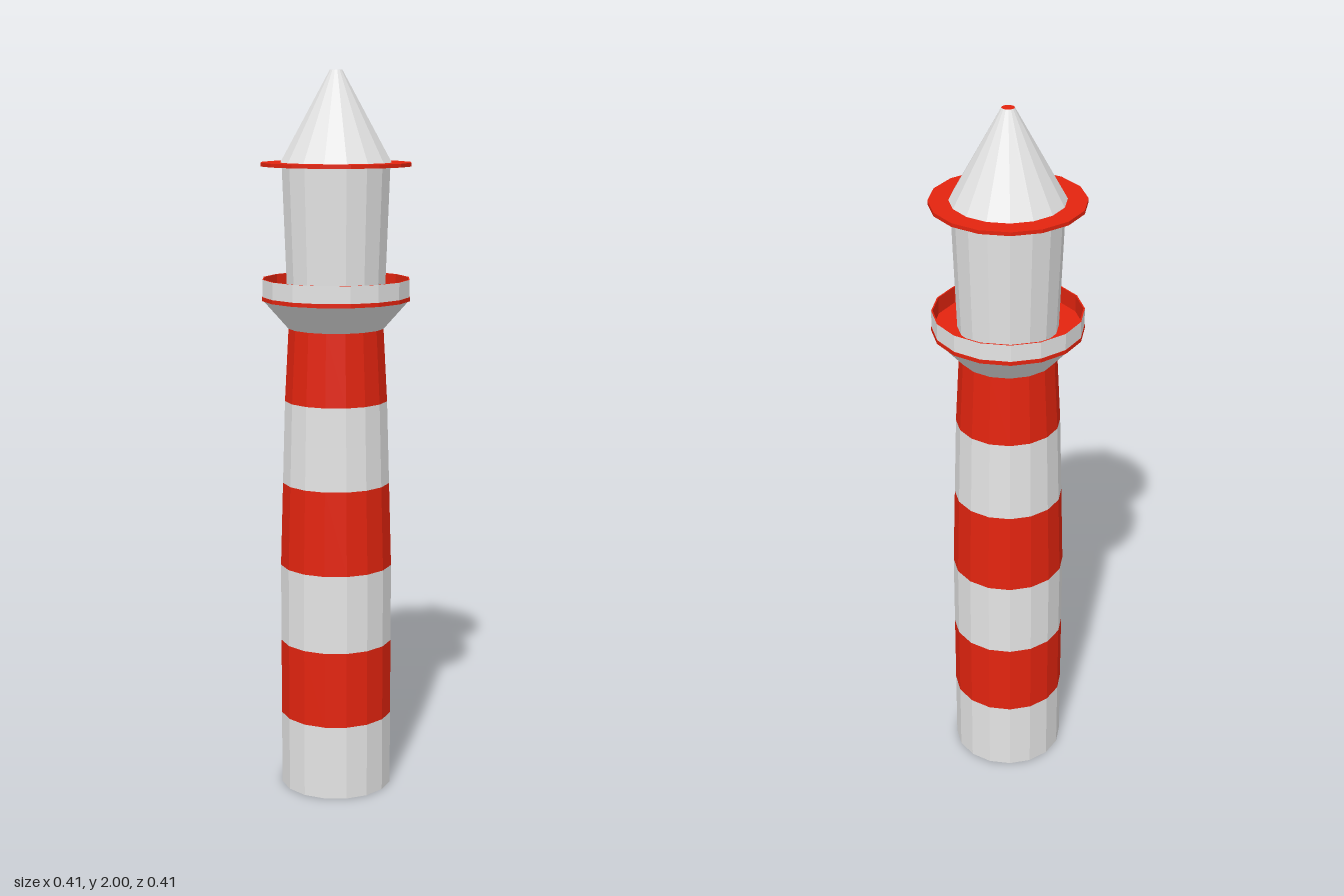
import * as THREE from 'three';

const SIDES = 16;

export function createModel() {
  const model = new THREE.Group();
  model.name = 'lighthouse';

  const white = new THREE.MeshStandardMaterial({ color: 0xe4e4e4, flatShading: true });
  white.name = 'white paint';
  const red = new THREE.MeshStandardMaterial({ color: 0xe3240f, flatShading: true });
  red.name = 'red paint';

  // Faceted ring surface swept from [radius, height] points, listed upwards for an outward face
  function turned(name, material, points) {
    const profile = points.map(([r, y]) => new THREE.Vector2(r, y));
    const mesh = new THREE.Mesh(new THREE.LatheGeometry(profile, SIDES), material);
    mesh.name = name;
    model.add(mesh);
  }

  // Flat disc facing up or down
  function disc(name, material, radius, y, up) {
    const geometry = new THREE.CircleGeometry(radius, SIDES);
    geometry.rotateX(up ? -Math.PI / 2 : Math.PI / 2);
    geometry.translate(0, y, 0);
    const mesh = new THREE.Mesh(geometry, material);
    mesh.name = name;
    model.add(mesh);
  }

  // Tapering tower in alternating bands
  const levels = [[0.157, 0], [0.157, 0.21], [0.157, 0.425], [0.157, 0.645],
    [0.15, 0.88], [0.143, 1.11], [0.132, 1.31]];
  for (let i = 0; i < levels.length - 1; i++) {
    turned(`towerBand${i + 1}`, i % 2 ? red : white, [levels[i], levels[i + 1]]);
  }
  disc('towerBase', red, 0.157, 0, false);

  // Gallery: flared support, floor and thin parapet with a red inside
  turned('galleryFlare', white, [[0.132, 1.31], [0.2, 1.387]]);
  turned('galleryFloor', red, [[0.2, 1.387], [0.204, 1.387], [0.204, 1.398], [0.13, 1.398]]);
  turned('parapetOuter', white, [[0.203, 1.398], [0.203, 1.445]]);
  turned('parapetInner', red, [[0.203, 1.445], [0.199, 1.445], [0.199, 1.398]]);

  // Lantern room, widening slightly upwards
  turned('lanternRoom', white, [[0.135, 1.398], [0.148, 1.747]]);

  // Roof brim, cone and tip
  turned('roofBrim', red, [[0.14, 1.747], [0.205, 1.747], [0.205, 1.757], [0.14, 1.757]]);
  turned('roofCone', white, [[0.152, 1.757], [0.017, 2]]);
  disc('roofTip', red, 0.017, 2, true);

  return model;
}
